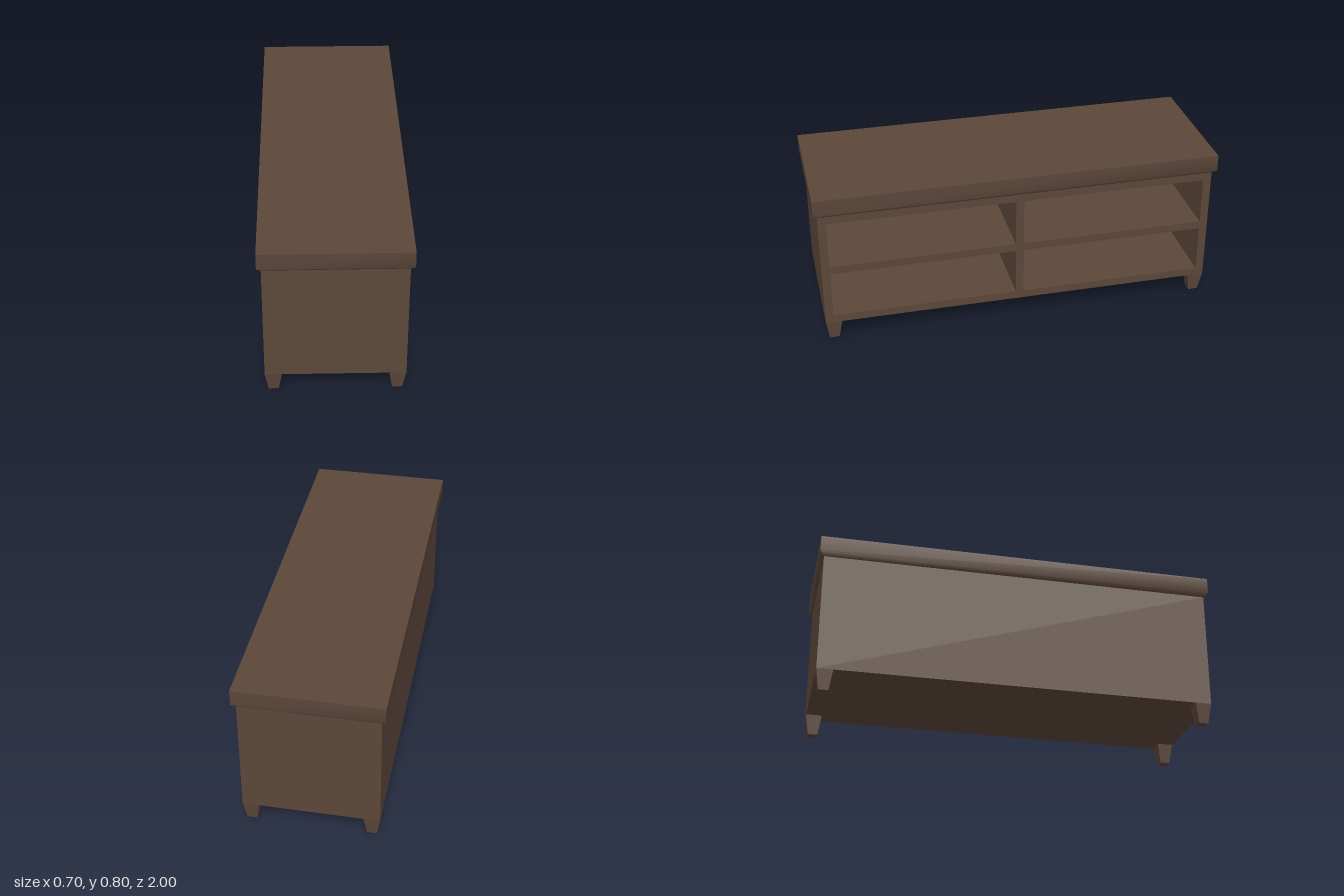
import * as THREE from 'three';

const wood = new THREE.MeshStandardMaterial({ color: 0x5c473a });

// Box standing on y0 whose lower rings are pulled in towards its axis
function taperedBox(w, h, d, y0, segments, rule) {
  const geo = new THREE.BoxGeometry(w, h, d, 1, segments, 1);
  geo.translate(0, y0 + h / 2, 0);
  const p = geo.attributes.position;
  const v = new THREE.Vector3();
  for (let i = 0; i < p.count; i++) {
    rule(v.fromBufferAttribute(p, i));
    p.setXYZ(i, v.x, v.y, v.z);
  }
  geo.computeVertexNormals();
  return geo;
}

function rectangle(target, x0, y0, x1, y1) {
  target.moveTo(x0, y0).lineTo(x1, y0).lineTo(x1, y1).lineTo(x0, y1).closePath();
  return target;
}

export function createModel() {
  const group = new THREE.Group();
  const add = (name, geo, x = 0, y = 0, z = 0) => {
    const mesh = new THREE.Mesh(geo, wood);
    mesh.name = name;
    mesh.position.set(x, y, z);
    group.add(mesh);
  };

  const halfX = 0.33, halfZ = 0.98, bottom = 0.1, top = 0.7, t = 0.04;

  // Carcass with four open compartments facing +x
  const outline = rectangle(new THREE.Shape(), -halfZ, bottom, halfZ, top);
  for (const z0 of [-halfZ + t, t / 2]) {
    for (const y0 of [0.14, 0.42]) {
      outline.holes.push(rectangle(new THREE.Path(), z0, y0, z0 + 0.92, y0 + 0.24));
    }
  }
  const carcass = new THREE.ExtrudeGeometry(outline, { depth: 2 * halfX - t, bevelEnabled: false });
  carcass.rotateY(Math.PI / 2);
  add('shelfCarcass', carcass, -halfX + t);

  // Closed back
  add('backPanel', new THREE.BoxGeometry(t, top - bottom, 2 * halfZ), -halfX + t / 2, (top + bottom) / 2);

  // Overhanging top with a chamfered lower edge
  add('tabletop', taperedBox(0.7, 0.1, 2, top, 2, (v) => {
    if (v.y < 0.71) {
      v.x = Math.sign(v.x) * halfX;
      v.z = Math.sign(v.z) * halfZ;
    } else if (v.y < 0.79) v.y = 0.72;
  }));

  // Tapered feet at the corners
  const foot = taperedBox(0.08, bottom, 0.08, 0, 1, (v) => {
    if (v.y < 0.01) {
      v.x *= 0.6;
      v.z *= 0.6;
    }
  });
  for (const sx of [-1, 1]) {
    for (const sz of [-1, 1]) add('foot', foot, sx * (halfX - 0.04), 0, sz * (halfZ - 0.04));
  }
  return group;
}
